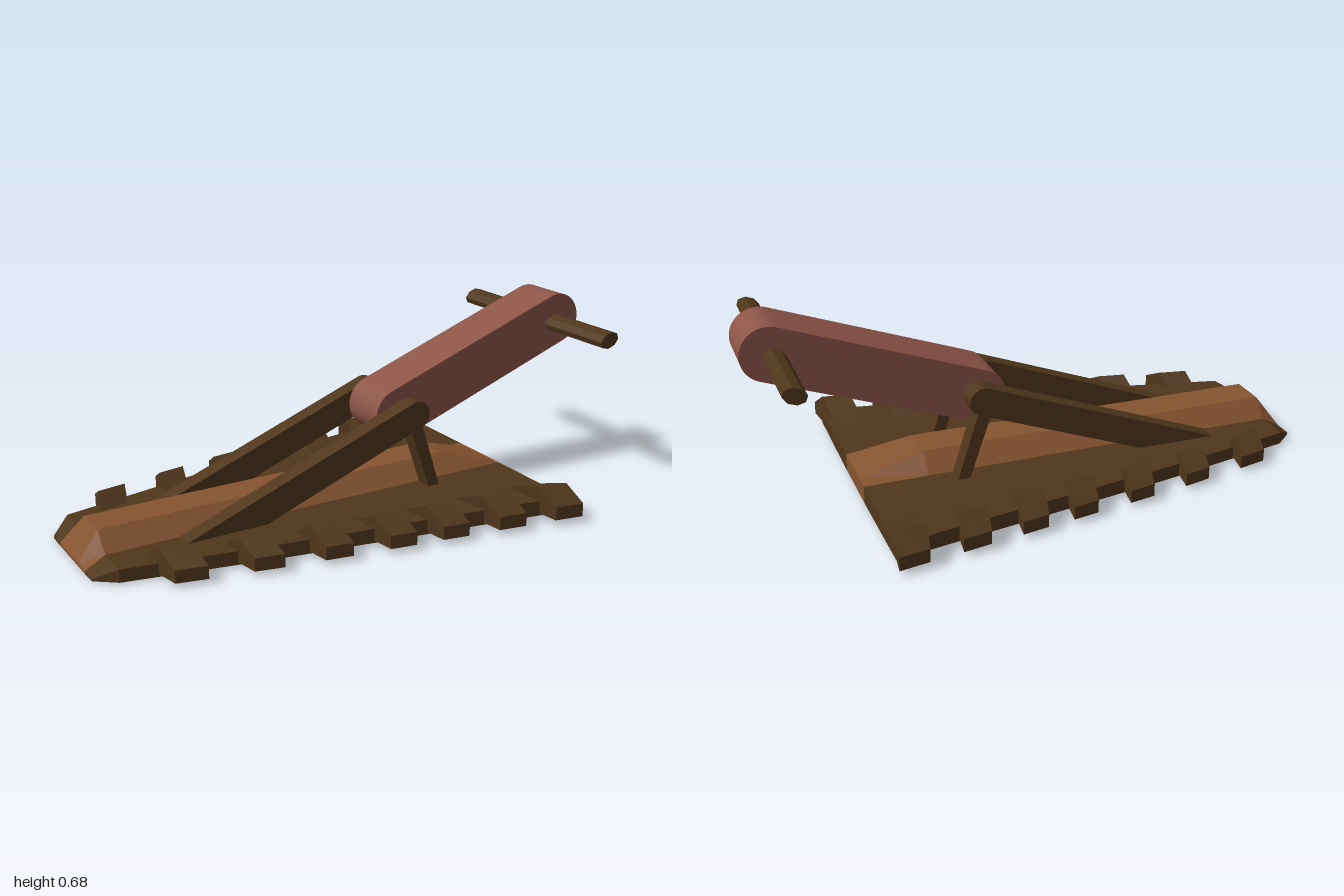
import * as THREE from 'three';

const mat = (color) => new THREE.MeshStandardMaterial({ color, flatShading: true, side: THREE.DoubleSide });
const smooth = (color) => new THREE.MeshStandardMaterial({ color });
const DARK = 0x50371c, BROWN = 0x855430, CLAY = 0x8c5548;

// Skin through rings of [x, y, z] running towards +x; side = -1 mirrors across z.
function loft(rings, side = 1) {
  const rs = rings.map((r) => {
    const q = r.map(([x, y, z]) => [x, y, z * side]);
    return side < 0 ? q.reverse() : q;
  });
  const pos = [], n = rs[0].length, last = rs[rs.length - 1];
  const tri = (a, b, c) => pos.push(...a, ...b, ...c);
  for (let i = 0; i < rs.length - 1; i++) {
    for (let j = 0; j < n; j++) {
      const k = (j + 1) % n;
      tri(rs[i][j], rs[i][k], rs[i + 1][k]);
      tri(rs[i][j], rs[i + 1][k], rs[i + 1][j]);
    }
  }
  for (let j = 1; j < n - 1; j++) {
    tri(rs[0][0], rs[0][j + 1], rs[0][j]);
    tri(last[0], last[j], last[j + 1]);
  }
  const g = new THREE.BufferGeometry();
  g.setAttribute('position', new THREE.Float32BufferAttribute(pos, 3));
  g.computeVertexNormals();
  return g;
}

// Flat side profile extruded across z, centred on zc.
function slab(shape, width, zc = 0) {
  const g = new THREE.ExtrudeGeometry(shape, { depth: width, bevelEnabled: false, curveSegments: 16 });
  return g.translate(0, 0, zc - width / 2);
}

const edgeZ = (x) => (x < -0.4 ? 0.25 + (x + 0.93) * 0.2 : 0.356 + (x + 0.4) * 0.159);

export function createModel() {
  const model = new THREE.Group();
  const add = (name, geo, material, parent = model) => {
    const m = new THREE.Mesh(geo, material);
    m.name = name;
    parent.add(m);
    return m;
  };
  const dark = mat(DARK), brown = mat(BROWN);

  // Central spine with raised ridge: [x, bottom, deck, ridge top]
  add('spine', loft([
    [-1, 0, 0.01, 0.012], [-0.93, 0, 0.05, 0.115], [0.4, 0.003, 0.068, 0.135], [0.63, 0.005, 0.07, 0.071],
  ].map(([x, b, d, t]) => [
    [x, b, 0.125], [x, b, -0.125], [x, d, -0.125], [x, t, -0.065], [x, t, 0.065], [x, d, 0.125],
  ])), brown);

  for (const s of [1, -1]) {
    const sideName = s > 0 ? 'front' : 'back';

    // Deck wing: [x, half width, inner bottom, outer bottom, top]
    add(sideName + 'Deck', loft([
      [-1, 0.19, 0, 0.002, 0.01], [-0.93, 0.25, 0, 0.005, 0.05],
      [-0.4, 0.356, 0.002, 0.01, 0.06], [0.63, 0.52, 0.005, 0.015, 0.07],
    ].map(([x, w, bi, bo, t]) => [[x, bo, w], [x, bi, 0.125], [x, t, 0.125], [x, t, w]]), s), dark);

    // Row of wedge teeth along the edge, leaning towards the wide end
    const teeth = new THREE.Group();
    teeth.name = sideName + 'Teeth';
    model.add(teeth);
    [-0.82, -0.57, -0.335, -0.11, 0.08, 0.29, 0.505].forEach((x0, i) => {
      const t = i / 6, w = 0.125 - 0.012 * Math.sin(Math.PI * t);
      const ring = (x) => {
        const e = edgeZ(x), inner = e - 0.06 - 0.1 * t, outer = e + 0.09 - 0.01 * t;
        const deck = 0.048 + 0.02 * t, low = 0.015 + 0.007 * t;
        return [
          [x + 0.03, low, outer], [x, low, inner], [x, deck, inner],
          [x + 0.014, 0.103 + 0.02 * t, e + 0.005], [x + 0.03, 0.06 + 0.01 * t, outer],
        ];
      };
      add('tooth', loft([ring(x0), ring(x0 + w - 0.02)], s), dark, teeth);
    });

    // Slanted arm rising from the deck to the pivot
    const px = 0.215, py = 0.345, r = 0.05, a = 0.372;
    const arm = new THREE.Shape();
    arm.moveTo(-0.7, 0.045);
    arm.lineTo(-0.42, 0.045);
    arm.lineTo(px + r * Math.sin(a), py - r * Math.cos(a));
    arm.absarc(px, py, r, a - Math.PI / 2, a + Math.PI / 2, false);
    arm.closePath();
    add(sideName + 'Arm', slab(arm, 0.065, s * 0.157), smooth(DARK));

    // Short strut holding the arm up
    const strut = new THREE.Shape();
    strut.moveTo(0.275, 0.05);
    strut.lineTo(0.318, 0.05);
    strut.lineTo(0.235, 0.31);
    strut.lineTo(0.185, 0.31);
    strut.closePath();
    add(sideName + 'Strut', slab(strut, 0.063, s * 0.157), dark);
  }

  // Pivot axle between the arms
  const axle = add('axle', new THREE.CylinderGeometry(0.04, 0.04, 0.26, 24).rotateX(Math.PI / 2), smooth(DARK));
  axle.position.set(0.215, 0.34, 0);

  // Thick round-ended lever
  const [ax, ay, bx, by, R] = [0.2, 0.325, 0.903, 0.588, 0.095];
  const tilt = Math.atan2(by - ay, bx - ax);
  const lever = new THREE.Shape();
  lever.absarc(bx, by, R, tilt - Math.PI / 2, tilt + Math.PI / 2, false);
  lever.absarc(ax, ay, R, tilt + Math.PI / 2, tilt + Math.PI * 1.5, false);
  lever.closePath();
  add('lever', slab(lever, 0.19, -0.002), smooth(CLAY));

  // Flattened cross handle
  const handle = add('handle', new THREE.CylinderGeometry(1, 1, 0.82, 8)
    .rotateX(Math.PI / 2).rotateZ(Math.PI / 8).scale(0.041, 0.028, 1), dark);
  handle.position.set(0.885, 0.577, -0.003);
  handle.rotation.z = tilt;

  return model;
}
